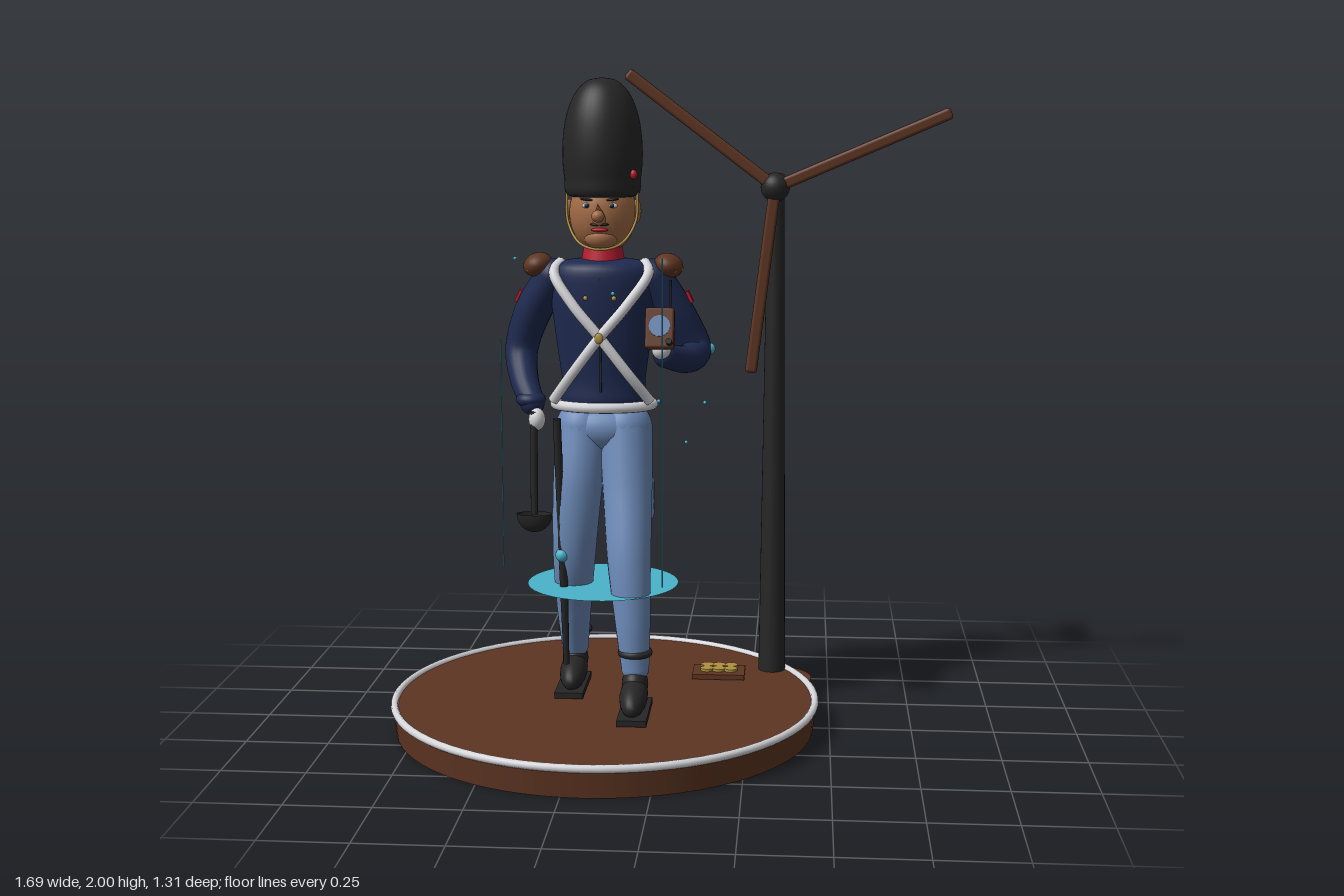
import * as THREE from 'three';
import { RoundedBoxGeometry } from 'three/addons/geometries/RoundedBoxGeometry.js';

const mat = (name, color, side = THREE.FrontSide) => {
  const m = new THREE.MeshStandardMaterial({ color, side });
  m.name = name;
  return m;
};
const M = {
  navy: mat('navy cloth', 0x1e2a50),
  blue: mat('light blue cloth', 0x6c8ab8),
  black: mat('black', 0x262626, THREE.DoubleSide),
  brown: mat('brown wood', 0x5e3522),
  white: mat('white strap', 0xd6d6da),
  skin: mat('skin', 0xa36c46),
  gold: mat('brass', 0xb09040),
  red: mat('red cloth', 0xb81c30),
  cyan: mat('cyan', 0x4ab2ca, THREE.DoubleSide),
};
const V = (p) => new THREE.Vector3(...p);

function add(parent, name, geo, material, pos = [0, 0, 0], rot = [0, 0, 0], scale = [1, 1, 1]) {
  const mesh = new THREE.Mesh(geo, material);
  mesh.name = name;
  mesh.position.set(...pos);
  mesh.rotation.set(...rot);
  mesh.scale.set(...scale);
  parent.add(mesh);
  return mesh;
}
const ball = (parent, name, material, pos, size, rot) =>
  add(parent, name, new THREE.SphereGeometry(1, 24, 16), material, pos, rot, size);

// Straight round bar between two points
function rod(parent, name, material, a, b, r0, r1 = r0, sides = 12) {
  const from = V(a), dir = V(b).sub(from);
  const mesh = add(parent, name, new THREE.CylinderGeometry(r1, r0, dir.length(), sides), material);
  mesh.position.copy(from).addScaledVector(dir, 0.5);
  mesh.quaternion.setFromUnitVectors(new THREE.Vector3(0, 1, 0), dir.normalize());
}

// Curved tube whose radius follows a list, with rounded ends
function limb(parent, name, material, points, radii) {
  const curve = new THREE.CatmullRomCurve3(points.map(V));
  const n = 28, sides = 18;
  const geo = new THREE.TubeGeometry(curve, n, 1, sides);
  const p = geo.attributes.position, v = new THREE.Vector3();
  for (let i = 0; i <= n; i++) {
    const c = curve.getPointAt(i / n);
    const t = curve.getUtoTmapping(i / n) * (radii.length - 1);
    const k = Math.min(Math.floor(t), radii.length - 2);
    const r = THREE.MathUtils.lerp(radii[k], radii[k + 1], t - k);
    for (let j = 0; j <= sides; j++) {
      const id = i * (sides + 1) + j;
      v.fromBufferAttribute(p, id).sub(c).multiplyScalar(r).add(c);
      p.setXYZ(id, v.x, v.y, v.z);
    }
  }
  add(parent, name, geo, material);
  [0, points.length - 1].forEach((i) => ball(parent, name + 'End', material, points[i], Array(3).fill(radii[i])));
}
const strap = (parent, name, material, points, r, closed = false) =>
  add(parent, name, new THREE.TubeGeometry(new THREE.CatmullRomCurve3(points.map(V), closed), 40, r, 10, closed), material);
const lathe = (pts) => new THREE.LatheGeometry(
  new THREE.SplineCurve(pts.map((p) => new THREE.Vector2(...p))).getPoints(32).map((p) => (p.x = Math.max(p.x, 0), p)), 36);

function makeStand(g) {
  add(g, 'base', new THREE.CylinderGeometry(0.65, 0.64, 0.088, 72), M.brown, [-0.19, 0.044, 0]);
  add(g, 'baseRim', new THREE.TorusGeometry(0.645, 0.012, 10, 80), M.white, [-0.19, 0.087, 0], [Math.PI / 2, 0, 0]);
  add(g, 'towerFoot', new THREE.CylinderGeometry(0.12, 0.12, 0.055, 36), M.brown, [0.325, 0.028, -0.335]);
  // Plate of brass discs
  add(g, 'plate', new THREE.BoxGeometry(0.165, 0.016, 0.11), M.brown, [0.15, 0.098, -0.235]);
  for (let i = 0; i < 3; i++) for (let j = 0; j < 2; j++)
    add(g, 'brassDisc', new THREE.CylinderGeometry(0.021, 0.021, 0.008, 16), M.gold, [0.112 + i * 0.038, 0.11, -0.27 + j * 0.04]);
}

function makeTurbine(g) {
  rod(g, 'tower', M.black, [0.317, 0.08, -0.32], [0.317, 1.63, -0.32], 0.043, 0.026, 24);
  const x = 0.317, y = 1.645, z = -0.147;
  add(g, 'nacelle', new RoundedBoxGeometry(0.072, 0.072, 0.2, 4, 0.025), M.brown, [x, y, -0.285]);
  ball(g, 'hub', M.black, [x, y, -0.155], [0.044, 0.044, 0.042]);
  for (const [bx, by] of [[-0.13, 1.985], [0.84, 1.868], [0.247, 1.08]]) {
    const len = Math.hypot(bx - x, by - y);
    add(g, 'blade', new RoundedBoxGeometry(0.036, len, 0.032, 3, 0.01), M.brown,
      [(x + bx) / 2, (y + by) / 2, z], [0, 0, Math.atan2(x - bx, by - y)]);
  }
}

function makeHead(g) {
  ball(g, 'head', M.skin, [0, 1.575, 0], [0.1, 0.122, 0.102]);
  ball(g, 'chin', M.skin, [0, 1.505, 0.055], [0.05, 0.035, 0.038]);
  add(g, 'nose', new THREE.ConeGeometry(0.022, 0.07, 14), M.skin, [0, 1.583, 0.113], [0.75, 0, 0]);
  ball(g, 'noseTip', M.skin, [0, 1.572, 0.137], [0.019, 0.018, 0.02]);
  add(g, 'neck', new THREE.CylinderGeometry(0.055, 0.06, 0.1, 20), M.skin, [0, 1.46, 0]);
  ball(g, 'mouth', M.red, [0, 1.53, 0.093], [0.025, 0.006, 0.008]);
  ball(g, 'moustache', M.black, [0, 1.546, 0.098], [0.028, 0.005, 0.008]);
  for (const s of [-1, 1]) {
    ball(g, 'ear', M.skin, [s * 0.1, 1.58, -0.003], [0.014, 0.035, 0.022]);
    ball(g, 'eyeWhite', M.white, [s * 0.037, 1.6, 0.088], [0.015, 0.008, 0.008]);
    ball(g, 'pupil', M.black, [s * 0.037, 1.6, 0.093], [0.007, 0.007, 0.006]);
    ball(g, 'brow', M.black, [s * 0.038, 1.618, 0.09], [0.02, 0.004, 0.007], [0, 0, s * 0.1]);
  }
  strap(g, 'chinStrap', M.gold, [[-0.105, 1.64, 0.02], [-0.1, 1.55, 0.035], [-0.06, 1.488, 0.07],
    [0, 1.472, 0.085], [0.06, 1.488, 0.07], [0.1, 1.55, 0.035], [0.105, 1.64, 0.02]], 0.004);
  // Tall fur hat
  add(g, 'furHat', lathe([[0, 1.63], [0.1, 1.625], [0.114, 1.68], [0.119, 1.76], [0.109, 1.85], [0.083, 1.92], [0.045, 1.96], [0, 1.97]]), M.black);
  ball(g, 'hatBadge', M.red, [0.098, 1.69, 0.068], [0.011, 0.014, 0.011]);
  add(g, 'collar', new THREE.CylinderGeometry(0.057, 0.066, 0.05, 28), M.red, [0, 1.452, 0]);
}

function makeTorso(g) {
  add(g, 'coat', lathe([[0, 0.99], [0.12, 1.0], [0.126, 1.08], [0.145, 1.22], [0.158, 1.34], [0.15, 1.415], [0.09, 1.438], [0, 1.442]]),
    M.navy, [0, 0, 0], [0, 0, 0], [1, 1, 0.66]);
  add(g, 'coatOpening', new THREE.BoxGeometry(0.006, 0.34, 0.008), M.black, [0, 1.22, 0.094], [0.04, 0, 0]);
  for (const s of [-1, 1]) {
    strap(g, 'crossBelt', M.white, [[s * 0.125, 1.43, 0.01], [s * 0.14, 1.4, 0.06], [s * 0.08, 1.31, 0.1],
      [0, 1.215, 0.112 + s * 0.003], [-s * 0.08, 1.11, 0.1], [-s * 0.145, 1.02, 0.06]], 0.016);
    for (let i = 0; i < 3; i++)
      ball(g, 'button', M.gold, [s * 0.042, 1.17 + i * 0.08, 0.1], [0.007, 0.007, 0.006]);
    // Shoulder pads and arm patches
    ball(g, 'epaulette', M.brown, [s * 0.195, 1.42, 0], [0.045, 0.036, 0.056], [0, 0, -s * 0.3]);
    strap(g, 'epauletteTrim', M.gold, [[s * 0.215, 1.405, 0.045], [s * 0.236, 1.408, 0], [s * 0.215, 1.405, -0.045]], 0.004);
    add(g, 'armPatch', new THREE.BoxGeometry(0.009, 0.036, 0.036), M.red, [s * 0.257, 1.325, -0.022], [0, 0, s * 0.45]);
  }
  ball(g, 'beltPlate', M.gold, [0, 1.215, 0.13], [0.013, 0.016, 0.006]);
  const ring = [...Array(12)].map((_, i) => [0.148 * Math.cos(i * Math.PI / 6), 1.003, 0.1 * Math.sin(i * Math.PI / 6)]);
  strap(g, 'waistBelt', M.white, ring, 0.016, true);
  // Pack and slung gun
  add(g, 'backpack', new RoundedBoxGeometry(0.215, 0.24, 0.105, 3, 0.02), M.brown, [0, 1.235, -0.157]);
  add(g, 'packTrim', new THREE.BoxGeometry(0.16, 0.008, 0.006), M.gold, [0, 1.285, -0.211]);
  rod(g, 'slungBarrel', M.black, [-0.06, 1.64, -0.185], [-0.04, 0.96, -0.13], 0.008, 0.014);
  ball(g, 'barrelLight', M.cyan, [-0.04, 1.005, -0.14], [0.017, 0.017, 0.017]);
}

function makeArms(g) {
  limb(g, 'rightArm', M.navy, [[-0.15, 1.385, 0], [-0.215, 1.28, -0.03], [-0.255, 1.16, -0.05], [-0.24, 1.07, 0], [-0.21, 1.01, 0.05]],
    [0.055, 0.056, 0.05, 0.043, 0.037]);
  limb(g, 'leftArm', M.navy, [[0.15, 1.385, 0], [0.215, 1.28, -0.02], [0.272, 1.165, -0.04], [0.25, 1.145, 0.04], [0.195, 1.165, 0.12]],
    [0.055, 0.056, 0.05, 0.042, 0.036]);
  ball(g, 'rightCuff', M.navy, [-0.215, 1.02, 0.045], [0.045, 0.026, 0.045]);
  ball(g, 'rightGlove', M.white, [-0.192, 0.965, 0.08], [0.025, 0.034, 0.028]);
  ball(g, 'leftGlove', M.white, [0.185, 1.185, 0.145], [0.028, 0.028, 0.028]);
  ball(g, 'elbowLight', M.cyan, [0.315, 1.165, -0.05], [0.018, 0.018, 0.018]);
  // Ladle
  rod(g, 'ladleHandle', M.black, [-0.2, 0.99, 0.09], [-0.2, 0.68, 0.1], 0.011);
  add(g, 'ladleBowl', new THREE.SphereGeometry(0.054, 24, 10, 0, Math.PI * 2, Math.PI / 2, Math.PI / 2), M.black,
    [-0.2, 0.682, 0.1], [0, 0, 0], [1, 1.05, 0.6]);
  // Handheld device
  const d = new THREE.Group();
  d.name = 'device';
  d.position.set(0.182, 1.25, 0.165);
  d.rotation.x = -0.3;
  add(d, 'deviceCase', new RoundedBoxGeometry(0.085, 0.12, 0.035, 2, 0.008), M.brown);
  add(d, 'deviceScreen', new THREE.CylinderGeometry(0.031, 0.031, 0.006, 24), M.blue, [0, 0.005, 0.018], [Math.PI / 2, 0, 0]);
  rod(d, 'deviceKnob', M.black, [0.03, -0.045, 0.01], [0.03, -0.045, 0.05], 0.009);
  rod(d, 'deviceAntenna', M.black, [0.03, 0.06, 0], [0.03, 0.14, 0.02], 0.003);
  g.add(d);
}

function makeLegs(g) {
  ball(g, 'hips', M.blue, [0, 0.93, 0], [0.142, 0.075, 0.085]);
  const legs = [
    ['leftLeg', 1, [[0.065, 0.93, 0], [0.075, 0.75, 0.05], [0.085, 0.55, 0.112], [0.097, 0.37, 0.135], [0.105, 0.22, 0.135]]],
    ['rightLeg', -1, [[-0.065, 0.93, 0], [-0.078, 0.75, 0.035], [-0.09, 0.55, 0.025], [-0.1, 0.37, -0.04], [-0.105, 0.22, -0.1]]],
  ];
  for (const [name, s, path] of legs) {
    limb(g, name, M.blue, path, [0.082, 0.075, 0.066, 0.054, 0.042]);
    const z = s > 0 ? 0.19 : -0.06;
    add(g, 'ankleBand', new THREE.TorusGeometry(0.042, 0.011, 8, 28), M.black, [s * 0.105, 0.27, s > 0 ? 0.137 : -0.108], [Math.PI / 2, 0, 0]);
    ball(g, 'shoe', M.black, [s * 0.105, 0.15, z], [0.042, 0.045, 0.1], [0.22, 0, 0]);
    ball(g, 'shoeHeel', M.black, [s * 0.105, 0.175, z - 0.045], [0.04, 0.048, 0.05]);
    add(g, 'sole', new THREE.BoxGeometry(0.088, 0.018, 0.23), M.black, [s * 0.108, 0.102, z]);
  }
  add(g, 'coatTail', new RoundedBoxGeometry(0.03, 0.12, 0.05, 2, 0.008), M.blue, [0.135, 0.71, -0.015], [0.1, 0, 0]);
  // Hanging sword
  rod(g, 'sword', M.black, [-0.13, 0.97, 0.1], [-0.12, 0.55, 0.075], 0.012);
  rod(g, 'swordTip', M.black, [-0.12, 0.65, 0.08], [-0.115, 0.2, 0.04], 0.015, 0.009);
  ball(g, 'swordLight', M.cyan, [-0.12, 0.55, 0.077], [0.021, 0.021, 0.021]);
}

function makeEffects(g) {
  add(g, 'floatingDisc', new THREE.CircleGeometry(0.23, 56), M.cyan, [-0.195, 0.45, 0], [-Math.PI / 2, 0, 0]);
  for (const [x, z, top] of [[-0.495, 0.04, 1.2], [0.005, 0.245, 1.46], [-0.09, -0.31, 1.0]])
    rod(g, 'lightBeam', M.cyan, [x, 0.5, z], [x, top, z], 0.002, 0.002, 6);
  for (const p of [[-0.47, 1.43, -0.1], [0.105, 0.98, -0.18], [0.042, 0.84, -0.26], [-0.015, 1.03, 0.12], [-0.14, 1.355, 0.21], [-0.14, 1.4, -0.37]])
    ball(g, 'spark', M.cyan, p, [0.006, 0.006, 0.006]);
}

export function createModel() {
  const model = new THREE.Group();
  model.name = 'toySoldierWithTurbine';
  makeStand(model);
  makeTurbine(model);
  const figure = new THREE.Group();
  figure.name = 'soldier';
  figure.position.x = -0.19;
  [makeHead, makeTorso, makeArms, makeLegs].forEach((make) => make(figure));
  model.add(figure);
  makeEffects(model);
  return model;
}
